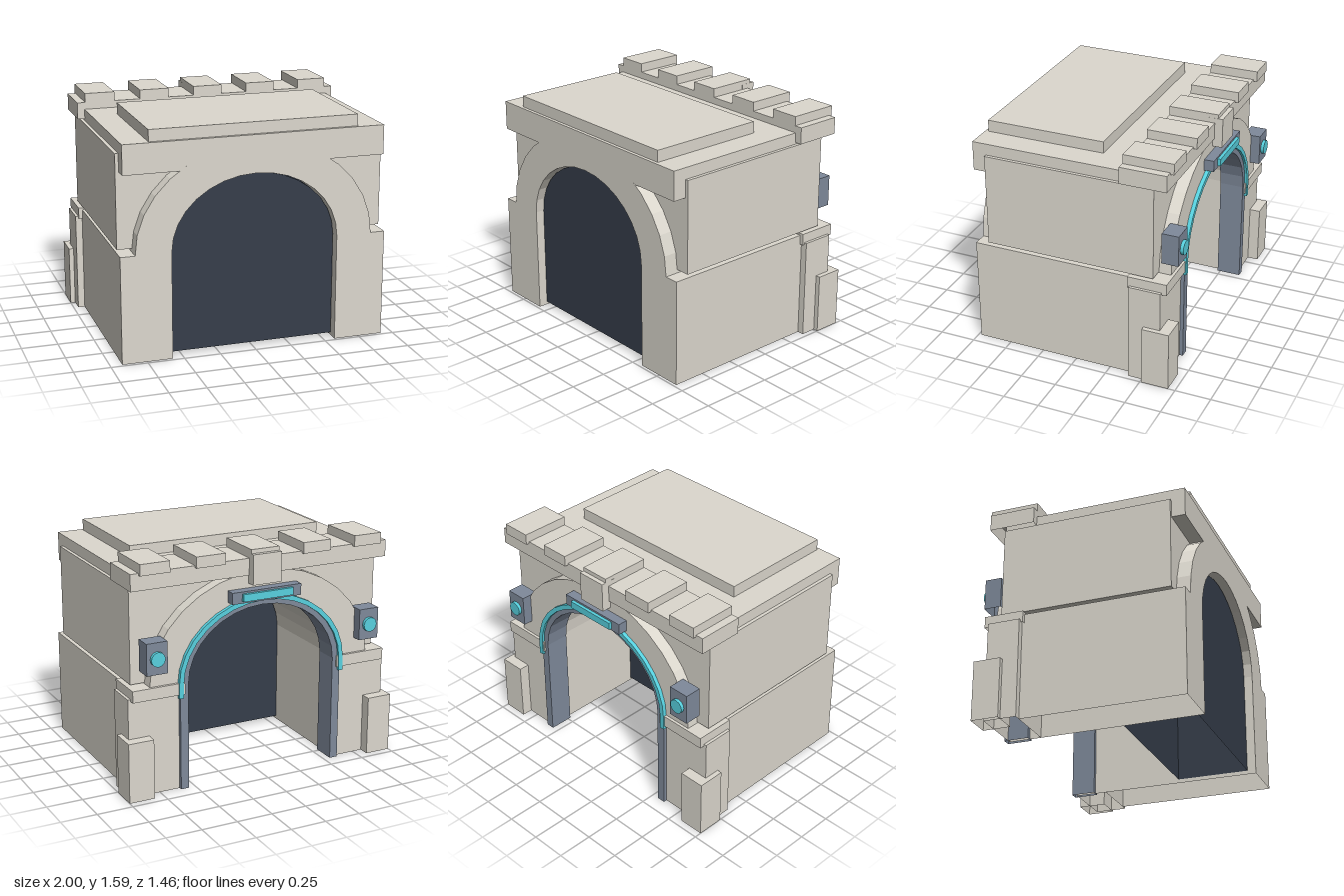
import * as THREE from 'three';

const SPRING = 0.74; // height where the arch starts

// Drops the faces that point straight down, leaving a shell open below
function openBelow(geometry) {
  const src = geometry.index ? geometry.toNonIndexed() : geometry;
  const { position, normal } = src.attributes;
  const points = [], normals = [];
  for (let i = 0; i < position.count; i++) {
    if (normal.getY(i) < -0.99) continue;
    points.push(position.getX(i), position.getY(i), position.getZ(i));
    normals.push(normal.getX(i), normal.getY(i), normal.getZ(i));
  }
  const g = new THREE.BufferGeometry();
  g.setAttribute('position', new THREE.Float32BufferAttribute(points, 3));
  g.setAttribute('normal', new THREE.Float32BufferAttribute(normals, 3));
  return g;
}

export function createModel() {
  const model = new THREE.Group();
  model.name = 'archedGatehouse';

  const material = (name, color) => {
    const m = new THREE.MeshStandardMaterial({ color, side: THREE.DoubleSide });
    m.name = name;
    return m;
  };
  const stone = material('paleStone', 0xdcd8ce);
  const slate = material('slateMetal', 0x7f8a9b);
  const dark = material('darkInterior', 0x363e4b);
  const teal = material('tealGlow', 0x58d2e0);

  const add = (name, geometry, mat) => {
    const mesh = new THREE.Mesh(geometry, mat);
    mesh.name = name;
    model.add(mesh);
    return mesh;
  };
  // Box without underside, given by its limits on each axis
  const box = (name, mat, x0, x1, y0, y1, z0, z1) => {
    const g = new THREE.BoxGeometry(x1 - x0, y1 - y0, z1 - z0);
    g.translate((x0 + x1) / 2, (y0 + y1) / 2, (z0 + z1) / 2);
    return add(name, openBelow(g), mat);
  };
  const pair = (name, mat, x0, x1, ...rest) => {
    box(name + 'Left', mat, x0, x1, ...rest);
    box(name + 'Right', mat, -x1, -x0, ...rest);
  };
  // Half ellipse from +x over the top to -x
  const arc = (rx, ry, n = 16) => Array.from({ length: n + 1 }, (_, i) => {
    const a = (Math.PI * i) / n;
    return new THREE.Vector2(rx * Math.cos(a), SPRING + ry * Math.sin(a));
  });
  const legs = (points, y) => [
    new THREE.Vector2(points[0].x, y), ...points,
    new THREE.Vector2(points[points.length - 1].x, y),
  ];
  const prism = (points, z0, z1) => {
    const g = new THREE.ExtrudeGeometry(new THREE.Shape(points), { depth: z1 - z0, bevelEnabled: false });
    return g.translate(0, 0, z0);
  };

  // Lower walls and the vault above them
  pair('lowerWall', stone, 0.575, 0.92, 0, SPRING, -0.4, 0.73);
  add('vault', prism([...arc(0.82, 0.7), ...arc(0.575, 0.485).reverse()], -0.64, 0.73), stone);

  // Recessed upper walls, filling the space outside the vault
  const upper = [
    new THREE.Vector2(0.918, 0.762), new THREE.Vector2(0.918, 1.403),
    new THREE.Vector2(-0.918, 1.403), new THREE.Vector2(-0.918, 0.762),
    ...arc(0.7, 0.6).reverse().map((p) => new THREE.Vector2(p.x, Math.max(p.y, 0.762))),
  ];
  add('upperWalls', prism(upper, -0.555, 0.635), stone);

  // Roof: slab fitted over the vault's crown, and a raised panel
  const roof = [
    new THREE.Vector2(0.895, 1.28), new THREE.Vector2(0.895, 1.482),
    new THREE.Vector2(-0.895, 1.482), new THREE.Vector2(-0.895, 1.28),
    new THREE.Vector2(-0.516, 1.28),
    ...arc(0.82, 0.7).reverse().filter((p) => p.y > 1.28),
    new THREE.Vector2(0.516, 1.28),
  ];
  add('roofSlab', prism(roof, -0.555, 0.73), stone);
  box('roofPanel', stone, -0.715, 0.715, 1.48, 1.562, -0.122, 0.707);

  // Parapet, merlons and keystone
  box('parapet', stone, -0.945, 0.945, 1.415, 1.53, -0.652, -0.33);
  for (const x of [-0.785, -0.392, 0, 0.392, 0.785]) {
    box('merlon', stone, x - 0.104, x + 0.104, 1.517, 1.593, -0.677, -0.33);
  }
  box('keystone', stone, -0.105, 0.105, 1.36, 1.565, -0.708, -0.6);

  // Pilasters with caps and buttresses
  pair('pilaster', stone, 0.575, 0.967, 0, 0.69, -0.625, -0.4);
  pair('pilasterCap', stone, 0.575, 0.947, 0.675, 0.755, -0.66, -0.385);
  pair('buttress', stone, 0.82, 1, 0, 0.415, -0.7, -0.51);

  // Slate door frame and glowing arch trim
  pair('framePost', slate, 0.547, 0.605, 0, SPRING, -0.65, -0.48);
  add('frameArch', prism([...arc(0.605, 0.515), ...arc(0.547, 0.465).reverse()], -0.65, -0.48), slate);
  add('glowArch', prism(
    [...legs(arc(0.62, 0.53), 0.65), ...legs(arc(0.588, 0.498), 0.65).reverse()], -0.667, -0.64), teal);

  // Dark core closing the passage near the front
  add('darkCore', openBelow(prism(legs(arc(0.57, 0.472), 0.025), 0.16, 0.67)), dark);

  // Crown lamp
  box('crownLampHousing', slate, -0.255, 0.255, 1.25, 1.328, -0.708, -0.63);
  box('crownLampBar', teal, -0.185, 0.185, 1.265, 1.315, -0.73, -0.7);

  // Side lamps
  pair('lampHousing', slate, 0.72, 0.868, 0.86, 1.077, -0.708, -0.59);
  for (const s of [-1, 1]) {
    const g = new THREE.CylinderGeometry(0.05, 0.05, 0.04, 12);
    g.rotateX(Math.PI / 2);
    add('lampLens', g, teal).position.set(s * 0.794, 0.968, -0.71);
  }

  return model;
}
